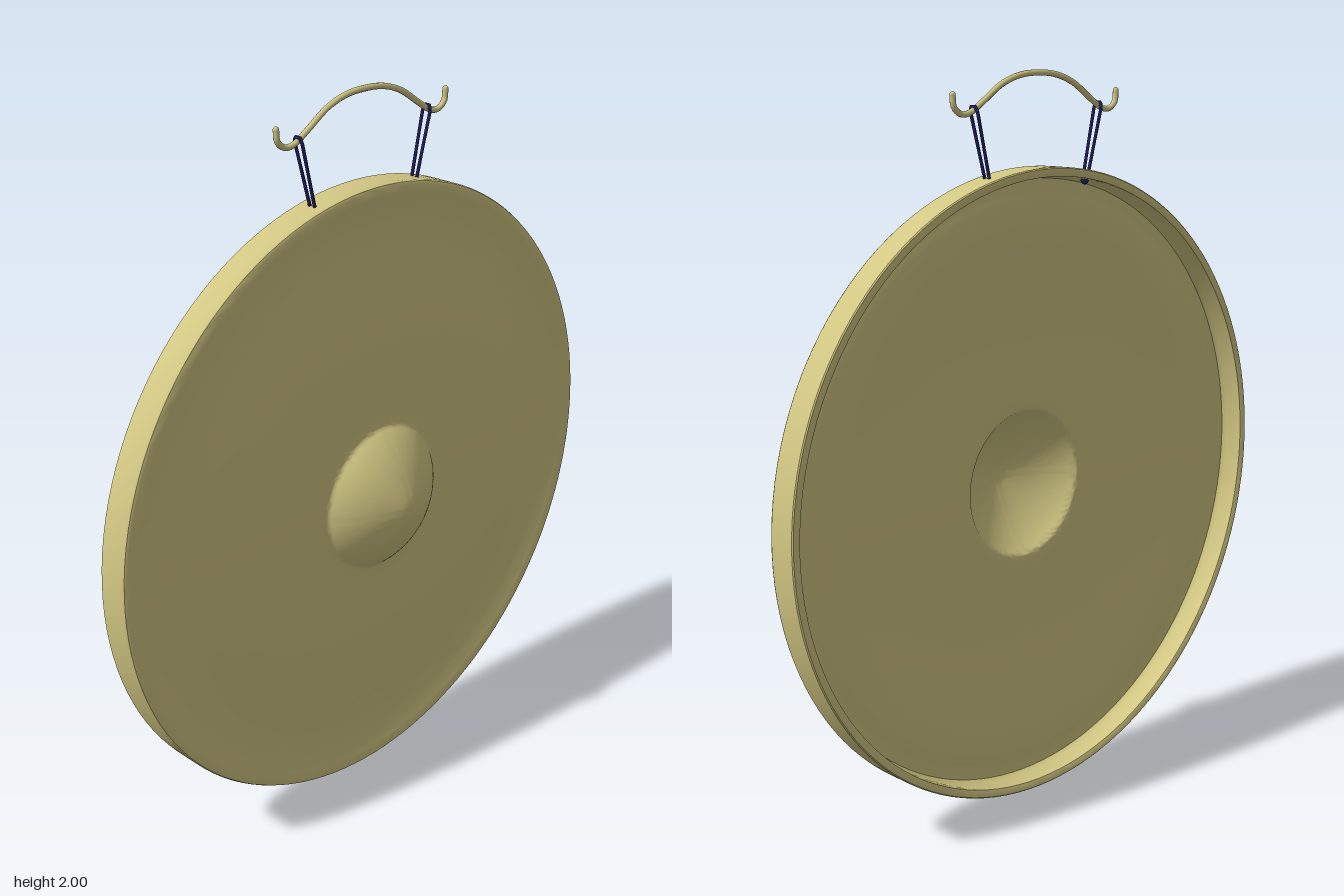
import * as THREE from 'three';
import { toCreasedNormals } from 'three/addons/utils/BufferGeometryUtils.js';

const brass = new THREE.MeshStandardMaterial({ color: 0xd2c783 });
const cord = new THREE.MeshStandardMaterial({ color: 0x1c1c5c });

const R = 0.874; // disc radius

// smooth curve through [radius, depth] pairs
const smooth = (pts, n) =>
  new THREE.SplineCurve(pts.map(([r, d]) => new THREE.Vector2(r, d))).getPoints(n);

// face from the centre boss out to the rim
const boss = [[0, 0.176], [0.03, 0.172], [0.1, 0.145], [0.15, 0.117], [0.185, 0.09], [0.208, 0.066]];
const face = [[0.208, 0.066], [0.24, 0.063], [0.35, 0.06], [0.5, 0.053], [0.61, 0.044],
  [0.7, 0.034], [0.77, 0.032], [0.82, 0.039], [0.845, 0.044]];

function discGeometry() {
  const t = 0.014; // sheet thickness
  const sheet = [...smooth(boss, 14), ...smooth(face, 28).slice(1)];
  const back = sheet.filter(p => p.x < 0.825).map(p => new THREE.Vector2(p.x, p.y - t));
  const rim = [[0.842, 0.022], [0.85, 0.01], [0.85, -0.043], [0.853, -0.045], [R - 0.003, -0.045],
    [R, -0.042], [R, 0.036], [R - 0.003, 0.042], [R - 0.01, 0.045]]
    .map(([r, d]) => new THREE.Vector2(r, d));
  const g = new THREE.LatheGeometry([...back, ...rim, ...sheet.reverse()], 128);
  g.rotateX(Math.PI / 2); // axis faces the front
  return toCreasedNormals(g, 0.7);
}

function add(parent, name, geometry, material) {
  const mesh = new THREE.Mesh(geometry, material);
  mesh.name = name;
  parent.add(mesh);
  return mesh;
}

export function createModel() {
  const model = new THREE.Group();
  model.name = 'hangingGong';
  const gong = new THREE.Group();
  gong.name = 'gong';
  gong.rotation.y = 0.479;
  model.add(gong);

  add(gong, 'disc', discGeometry(), brass).position.y = R + 0.002;

  // wavy carrying handle with upturned hooks
  const half = [[0.302, 1.942], [0.298, 1.912], [0.275, 1.894], [0.245, 1.896],
    [0.2, 1.922], [0.13, 1.966], [0.065, 1.987]];
  const path = [
    ...half.map(([x, y]) => new THREE.Vector3(-x, y, 0)),
    new THREE.Vector3(0, 1.992, 0),
    ...half.slice().reverse().map(([x, y]) => new THREE.Vector3(x, y, 0)),
  ];
  add(gong, 'handle', new THREE.TubeGeometry(new THREE.CatmullRomCurve3(path), 96, 0.008, 10), brass);
  for (const end of [path[0], path[path.length - 1]]) {
    add(gong, 'handleTip', new THREE.SphereGeometry(0.008, 12, 8), brass).position.copy(end);
  }

  // cord loops from the rim holes over the handle
  for (const s of [-1, 1]) {
    const corners = [[0.18, 1.705, -0.008], [0.229, 1.897, -0.013], [0.232, 1.911, -0.008],
      [0.232, 1.911, 0.008], [0.229, 1.897, 0.013], [0.18, 1.705, 0.008]]
      .map(([x, y, z]) => new THREE.Vector3(s * x, y, z));
    const loop = new THREE.CurvePath();
    corners.forEach((c, i) => loop.add(new THREE.LineCurve3(c, corners[(i + 1) % corners.length])));
    add(gong, 'cordLoop', new THREE.TubeGeometry(loop, 120, 0.0045, 8, true), cord);
    // knot on the inner side of the rim
    const knot = add(gong, 'cordKnot', new THREE.SphereGeometry(0.011, 14, 10), cord);
    knot.position.set(s * 0.18, 1.704, 0);
  }
  return model;
}
